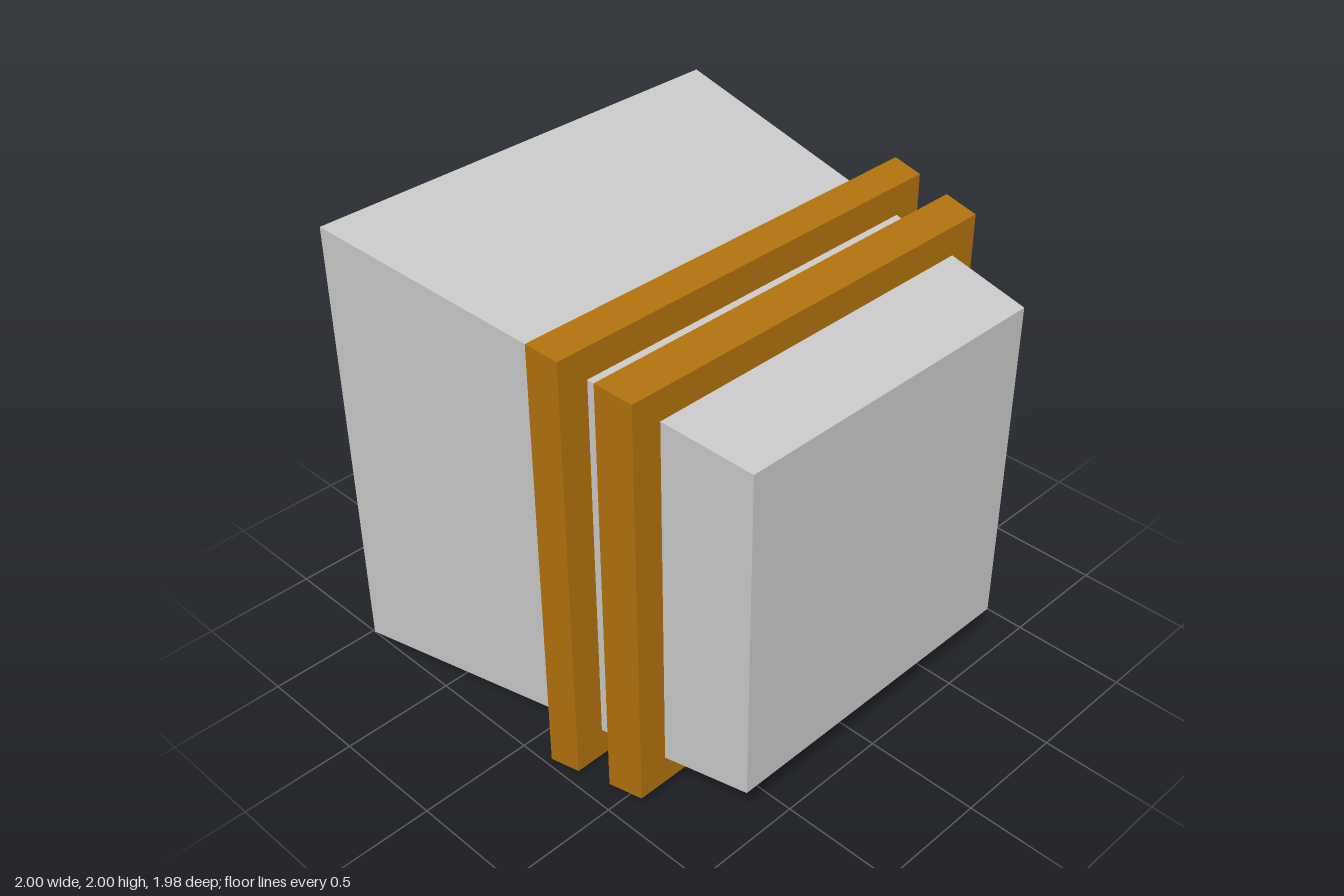
import * as THREE from 'three';

const FRONT = 0.99, BACK = -0.99, FLOOR = -0.57;

// Half-width of the tapered body at depth z
const bodyHalf = (z) => 1 + (0.74 - 1) * (z - BACK) / (FRONT - BACK);

// Square lathe around the z axis; profile points are [half-width, z], back to front
function squareLathe(name, profile, color) {
  const points = profile.map(([half, z]) => new THREE.Vector2(half * Math.SQRT2, z));
  const geometry = new THREE.LatheGeometry(points, 4, Math.PI / 4).toNonIndexed();
  geometry.rotateX(Math.PI / 2);
  geometry.computeVertexNormals();
  const mesh = new THREE.Mesh(geometry, new THREE.MeshStandardMaterial({ color, flatShading: true }));
  mesh.name = name;
  mesh.position.y = 1;
  return mesh;
}

export function createModel() {
  const model = new THREE.Group();
  model.name = 'taperedHousing';

  // Tapered shell: recess wall, rear rim, outer sides and closed front
  const rim = 0.145;
  const recessHalf = bodyHalf(FLOOR) - rim;
  model.add(squareLathe('body', [
    [recessHalf, FLOOR], [1 - rim, BACK], [1, BACK], [bodyHalf(FRONT), FRONT], [0, FRONT],
  ], 0xcccccc));

  // Coloured panel at the bottom of the rear recess
  const panel = new THREE.Mesh(
    new THREE.PlaneGeometry(recessHalf * 2, recessHalf * 2),
    new THREE.MeshStandardMaterial({ color: 0xd193e6 }),
  );
  panel.name = 'recessPanel';
  panel.rotation.y = Math.PI;
  panel.position.set(0, 1, FLOOR);
  model.add(panel);

  // Two raised bands around the body, following its taper
  const bands = [['rearBand', 0.15, 0.29, 0.132], ['frontBand', 0.445, 0.605, 0.129]];
  for (const [name, z0, z1, height] of bands) {
    model.add(squareLathe(name, [
      [bodyHalf(z0) - 0.02, z0], [bodyHalf(z0) + height, z0],
      [bodyHalf(z1) + height, z1], [bodyHalf(z1) - 0.02, z1],
    ], 0xb3730e));
  }
  return model;
}
